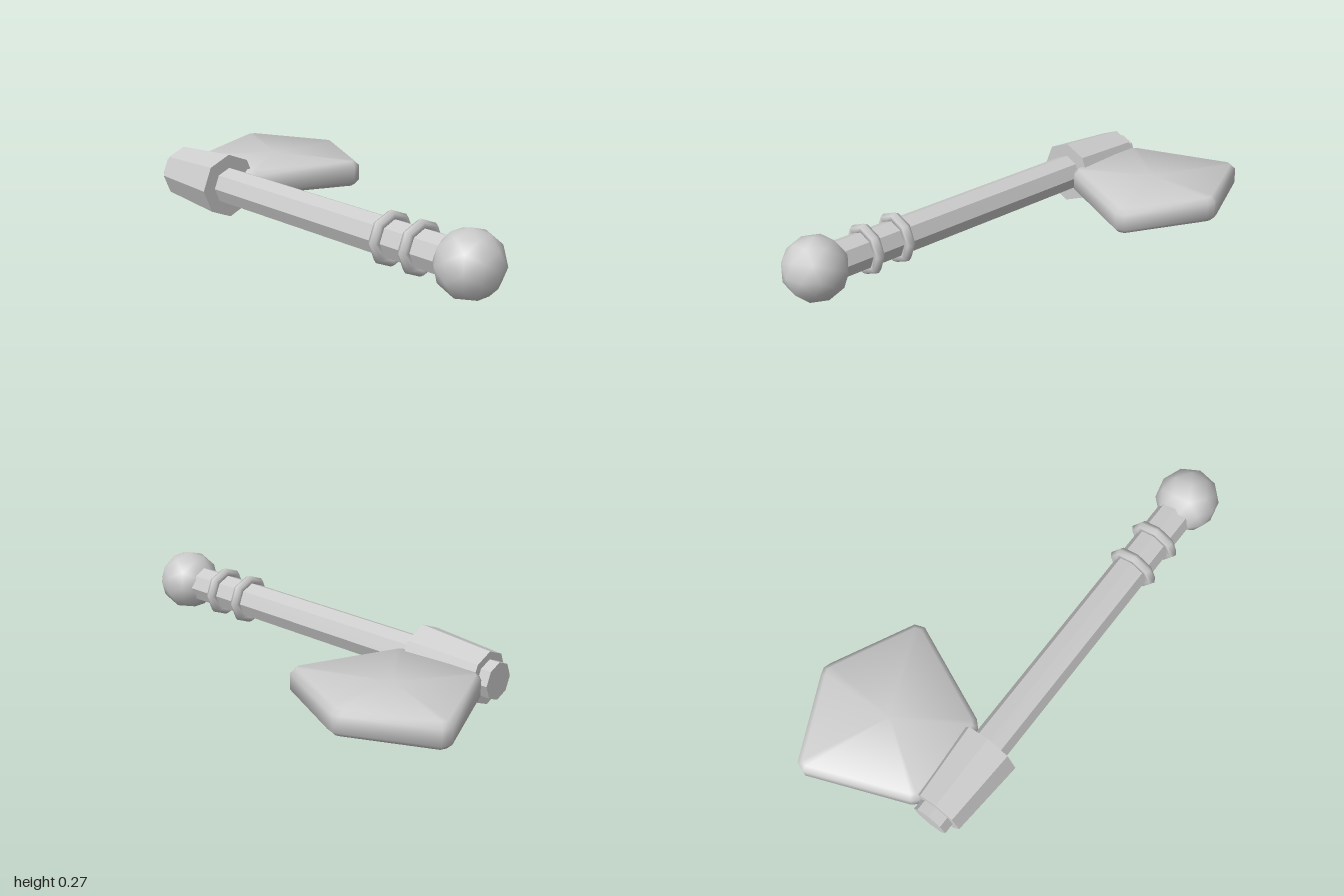
import * as THREE from 'three';

const AXIS_X = -0.29, AXIS_Y = 0.133;

// Blade built from four stacked rings (bevelled rim) plus a centre point on each face
function bladeGeometry() {
  const outline = [
    [-0.215, -0.81], [-0.19, -0.835], [0.21, -1.0], [0.25, -0.985],
    [0.41, -0.66], [0.42, -0.63], [0.41, -0.6],
    [0.25, -0.27], [0.21, -0.255], [-0.19, -0.425], [-0.215, -0.45],
  ].map(p => new THREE.Vector2(...p));
  const n = outline.length;
  const edgeNormal = i => {
    const d = outline[(i + 1) % n].clone().sub(outline[i % n]).normalize();
    return new THREE.Vector2(d.y, -d.x);
  };
  const outward = outline.map((_, i) => edgeNormal(i + n - 1).add(edgeNormal(i)).normalize());
  // height from the middle, inset, vertical part of the normal
  const levels = [[-0.054, 0.022, -2.2], [-0.033, 0, -0.4], [0.033, 0, 0.4], [0.054, 0.022, 2.2]];
  const pos = [], nor = [], idx = [];
  for (const [y, inset, tilt] of levels) {
    outline.forEach((p, i) => {
      const o = outward[i];
      pos.push(p.x - o.x * inset, AXIS_Y + y, p.y - o.y * inset);
      nor.push(...new THREE.Vector3(o.x, tilt, o.y).normalize().toArray());
    });
  }
  const bottom = 4 * n, top = bottom + 1;
  pos.push(0.08, AXIS_Y - 0.054, -0.63, 0.08, AXIS_Y + 0.054, -0.63);
  nor.push(0, -1, 0, 0, 1, 0);
  for (let i = 0; i < n; i++) {
    const j = (i + 1) % n;
    for (let l = 0; l < 3; l++) {
      const a = l * n + i, b = l * n + j, c = a + n, d = b + n;
      idx.push(a, c, b, b, c, d);
    }
    idx.push(bottom, i, j, top, 3 * n + j, 3 * n + i);
  }
  const g = new THREE.BufferGeometry();
  g.setAttribute('position', new THREE.Float32BufferAttribute(pos, 3));
  g.setAttribute('normal', new THREE.Float32BufferAttribute(nor, 3));
  g.setIndex(idx);
  return g;
}

// Eight-sided bar along z, with hard edges
function bar(rFront, rBack, zBack, zFront) {
  return new THREE.CylinderGeometry(rFront, rBack, zFront - zBack, 8)
    .rotateX(Math.PI / 2)
    .translate(AXIS_X, AXIS_Y, (zBack + zFront) / 2)
    .toNonIndexed();
}

export function createModel() {
  const group = new THREE.Group();
  const grey = new THREE.MeshStandardMaterial({ color: 0xcccccc });
  grey.name = 'grey';
  const add = (name, geometry) => {
    const mesh = new THREE.Mesh(geometry, grey);
    mesh.name = name;
    group.add(mesh);
  };
  const addFlat = (name, geometry) => {
    geometry.computeVertexNormals();
    add(name, geometry);
  };

  // Shaft and the tapered sleeve that holds the blade
  addFlat('handle', bar(0.077, 0.077, -0.845, 0.85));
  addFlat('sleeve', bar(0.133, 0.109, -0.8, -0.48));

  // Grip rings
  for (const z of [0.48, 0.63]) {
    add('gripRing', new THREE.TorusGeometry(0.087, 0.022, 6, 8).translate(AXIS_X, AXIS_Y, z));
  }

  // Faceted ball with one corner on the shaft axis
  const phi = (1 + Math.sqrt(5)) / 2;
  add('pommel', new THREE.IcosahedronGeometry(0.132, 1)
    .rotateX(Math.atan(1 / phi))
    .rotateZ(Math.PI / 2)
    .translate(AXIS_X, AXIS_Y, 0.866));

  add('blade', bladeGeometry());
  return group;
}
